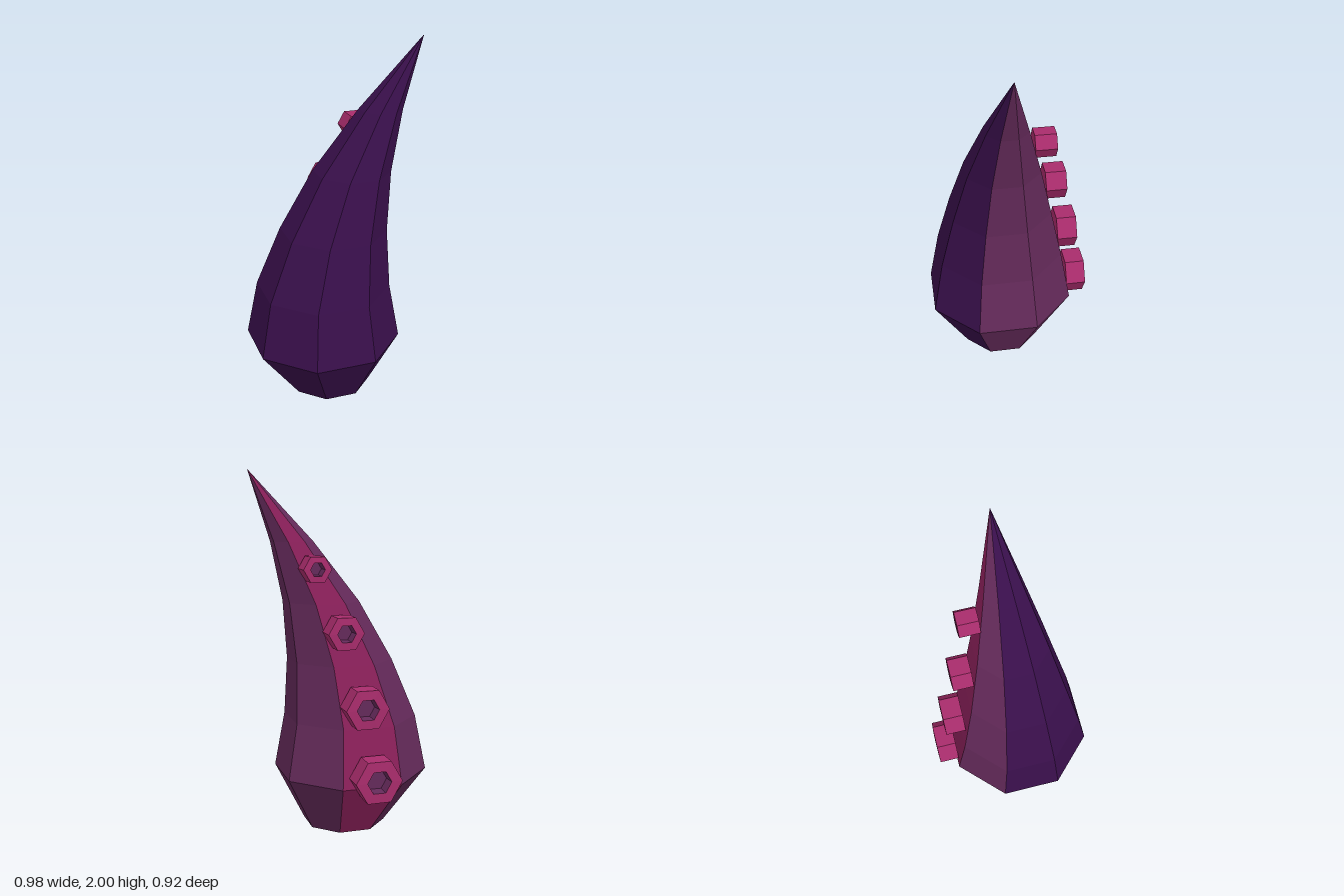
import * as THREE from 'three';

const material = (name, color, extra = {}) => {
  const m = new THREE.MeshStandardMaterial({ color });
  m.name = name;
  m.flatShading = true;
  return Object.assign(m, extra);
};

// Tentacle cross-sections: height, centre x, half width across flats
const CENTRE_Z = 0.053;
const RINGS = [
  [0, -0.048, 0.215],
  [0.315, -0.085, 0.405],
  [0.63, -0.082, 0.348],
  [0.96, -0.02, 0.275],
  [1.29, 0.087, 0.198],
  [1.62, 0.25, 0.11],
  [2, 0.487, 0.001],
];

// Corner of an octagonal ring; side k faces the angle k * 45 degrees from +x to +z
function corner([y, cx, half], k) {
  const a = (k * Math.PI) / 4;
  const r = half / Math.cos(Math.PI / 8);
  return [cx + Math.cos(a) * r, y, CENTRE_Z + Math.sin(a) * r];
}

// Lengthwise strips of the tentacle for the given sides
function strips(sides, withBase) {
  const pos = [];
  for (const k of sides) {
    for (let i = 0; i < RINGS.length - 1; i++) {
      const a = corner(RINGS[i], k + 0.5);
      const b = corner(RINGS[i], k - 0.5);
      const c = corner(RINGS[i + 1], k - 0.5);
      const d = corner(RINGS[i + 1], k + 0.5);
      pos.push(...a, ...b, ...c, ...a, ...c, ...d);
    }
  }
  if (withBase) {
    for (let k = 0; k < 8; k++) {
      pos.push(RINGS[0][1], 0, CENTRE_Z, ...corner(RINGS[0], k - 0.5), ...corner(RINGS[0], k + 0.5));
    }
  }
  const g = new THREE.BufferGeometry();
  g.setAttribute('position', new THREE.Float32BufferAttribute(pos, 3));
  g.computeVertexNormals();
  return g;
}

// Six-sided turned shape with its axis along -z
function hexLathe(points) {
  const g = new THREE.LatheGeometry(points.map(([r, h]) => new THREE.Vector2(r, h)), 6);
  g.rotateY(Math.PI / 6);
  g.rotateX(-Math.PI / 2);
  return g;
}

export function createModel() {
  const group = new THREE.Group();
  group.name = 'tentacle';
  const purple = material('dark purple skin', 0x390f4b);
  const plum = material('plum skin', 0x642a5a);
  const magenta = material('magenta underside', 0x8a205a);
  const pink = material('pink sucker', 0xa82c6c);

  const add = (parent, name, geometry, mat) => {
    const mesh = new THREE.Mesh(geometry, mat);
    mesh.name = name;
    parent.add(mesh);
  };

  // Skin bands
  add(group, 'outerSkin', strips([1, 2, 3, 4], true), purple);
  add(group, 'sideSkin', strips([0, 5, 7], false), plum);
  add(group, 'suckerStrip', strips([6], false), magenta);

  // Suckers: x, y, base z, radius
  const suckers = [
    [-0.085, 0.378, -0.343, 0.13],
    [-0.045, 0.755, -0.27, 0.12],
    [0.045, 1.15, -0.181, 0.099],
    [0.177, 1.483, -0.096, 0.077],
  ];
  const depth = 0.114;
  suckers.forEach(([x, y, z, r], i) => {
    const sucker = new THREE.Group();
    sucker.name = `sucker${i + 1}`;
    sucker.position.set(x, y, z);
    const hole = r * 0.52;
    const rim = depth + 0.003;
    add(sucker, 'suckerCup', hexLathe([[0, 0], [r, 0], [r, depth], [hole, rim]]), pink);
    add(sucker, 'suckerHole', hexLathe([[hole, rim], [hole * 0.9, depth - 0.06], [0, depth - 0.06]]), plum);
    group.add(sucker);
  });
  return group;
}
